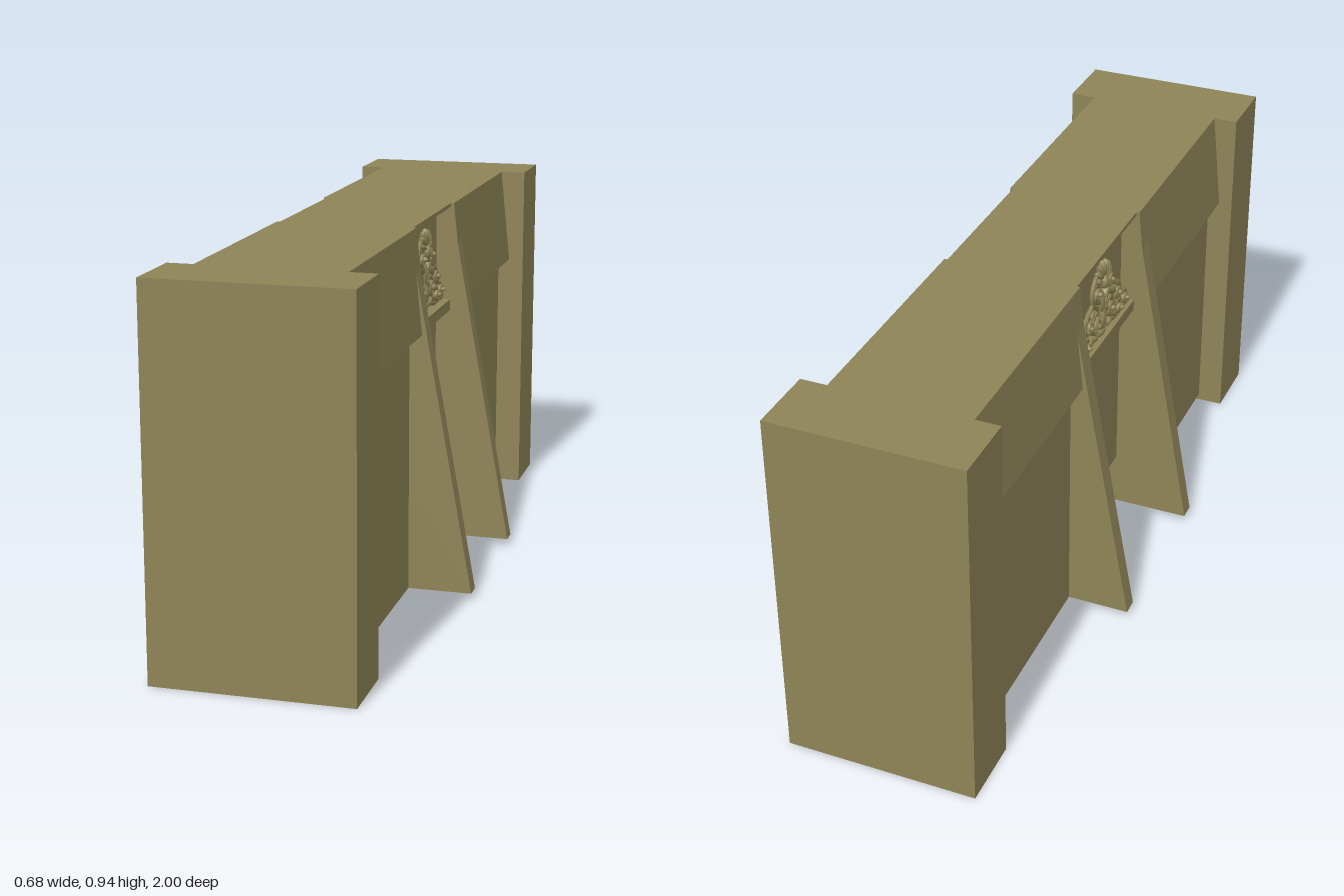
import * as THREE from 'three';
import { mergeGeometries } from 'three/addons/utils/BufferGeometryUtils.js';

const stone = new THREE.MeshStandardMaterial({ color: 0x8e8457, side: THREE.DoubleSide });
stone.name = 'stone';

// Shell with an open bottom: half profile [x, y] from foot to top, mirrored in x, run along z.
function shell(name, half, z0, z1) {
  const pts = [...half, ...half.slice().reverse().map(([x, y]) => [-x, y])];
  const pos = [];
  for (let i = 0; i < pts.length - 1; i++) {
    const [ax, ay] = pts[i], [bx, by] = pts[i + 1];
    pos.push(ax, ay, z0, bx, by, z0, bx, by, z1, ax, ay, z0, bx, by, z1, ax, ay, z1);
  }
  const sides = new THREE.BufferGeometry();
  sides.setAttribute('position', new THREE.Float32BufferAttribute(pos, 3));
  sides.computeVertexNormals();
  const shape = new THREE.Shape(pts.map(([x, y]) => new THREE.Vector2(x, y)));
  const caps = [z0, z1].map((z, i) => {
    const g = new THREE.ShapeGeometry(shape).toNonIndexed();
    if (i === 0) g.rotateY(Math.PI);
    g.translate(0, 0, z);
    g.deleteAttribute('uv');
    return g;
  });
  const mesh = new THREE.Mesh(mergeGeometries([sides, ...caps]), stone);
  mesh.name = name;
  return mesh;
}

// Tapering scroll: a spiral of the given turns that starts at the rim and ends in a bead.
function scroll(cx, cy, r, start, turns, s, thick) {
  const pts = [];
  for (let i = 0; i <= 16; i++) {
    const t = i / 16, a = start + turns * Math.PI * 2 * t, q = r * (1 - 0.75 * t);
    pts.push(new THREE.Vector3(s * (cx + q * Math.cos(a)), cy + q * Math.sin(a), 0.016 + 0.01 * t));
  }
  return [
    new THREE.TubeGeometry(new THREE.CatmullRomCurve3(pts), 30, thick, 6),
    bead(s * cx, cy, r * 0.32, r * 0.32, 0, 0.026),
  ];
}

// Flattened bead or leaf, turned by angle in the panel plane.
function bead(x, y, rx, ry, angle = 0, z = 0.014, depth = 0.012) {
  return new THREE.SphereGeometry(1, 12, 8).scale(rx, ry, depth).rotateZ(angle).translate(x, y, z);
}

function stem(points, s, thick) {
  const curve = new THREE.CatmullRomCurve3(points.map(([x, y]) => new THREE.Vector3(s * x, y, 0.016)));
  return new THREE.TubeGeometry(curve, 24, thick, 6);
}

// Carved crest, heights measured from the ledge top.
function carving() {
  const parts = [];
  // fan at the top
  for (let i = -3; i <= 3; i++) {
    const a = Math.PI / 2 + i * 0.42;
    parts.push(bead(Math.cos(a) * 0.032, 0.168 + Math.sin(a) * 0.034, 0.022, 0.008, a, 0.018));
  }
  parts.push(bead(0, 0.163, 0.014, 0.018, 0, 0.024));
  // central drop and foot
  parts.push(bead(0, 0.105, 0.012, 0.036), bead(0, 0.05, 0.02, 0.026, 0, 0.018), bead(0, 0.016, 0.026, 0.012));
  for (const s of [-1, 1]) {
    parts.push(
      ...scroll(0.043, 0.15, 0.024, 1.2, 1.4, s, 0.006),
      ...scroll(0.05, 0.062, 0.03, 2.6, -1.5, s, 0.007),
      ...scroll(0.1, 0.082, 0.025, 2.4, -1.4, s, 0.006),
      ...scroll(0.112, 0.03, 0.022, 2.8, -1.3, s, 0.006),
      ...scroll(0.155, 0.036, 0.02, 2.2, -1.4, s, 0.006),
      stem([[0.012, 0.2], [0.045, 0.19], [0.066, 0.16], [0.06, 0.125], [0.03, 0.1], [0.018, 0.06]], s, 0.006),
      stem([[0.02, 0.02], [0.06, 0.018], [0.1, 0.008], [0.15, 0.01], [0.19, 0.008]], s, 0.007),
      stem([[0.065, 0.125], [0.09, 0.112], [0.125, 0.095], [0.135, 0.06], [0.17, 0.05]], s, 0.006));
    // leaves: x, y, length, width, angle
    for (const [x, y, l, w, a] of [
      [0.03, 0.122, 0.022, 0.008, 0.9], [0.075, 0.1, 0.022, 0.009, 2.3], [0.078, 0.06, 0.02, 0.01, 0.8],
      [0.085, 0.025, 0.022, 0.01, 2.6], [0.13, 0.07, 0.018, 0.008, 2.0], [0.025, 0.075, 0.02, 0.009, 2.2],
      [0.138, 0.015, 0.018, 0.009, 0.5], [0.178, 0.02, 0.016, 0.008, 2.5], [0.05, 0.022, 0.022, 0.01, 0.4],
    ]) parts.push(bead(s * x, y, l, w, s * a));
  }
  return mergeGeometries(parts);
}

export function createModel() {
  const model = new THREE.Group();
  model.name = 'buttressedWall';

  // End piers
  for (const [name, z0, z1] of [['frontPier', 0.818, 1], ['backPier', -1, -0.818]]) {
    const pier = shell(name, [[0.246, 0], [0.246, 0.94]], z0, z1);
    pier.position.x = 0.002;
    model.add(pier);
  }

  // Side bays with a sloping band that overhangs the wall
  const bay = [[0.175, 0.018], [0.175, 0.68], [0.207, 0.68], [0.18, 0.94]];
  model.add(shell('frontBay', bay, 0.212, 0.818), shell('backBay', bay, -0.818, -0.198));

  // Buttresses
  const buttress = [[0.339, 0.018], [0.172, 0.939]];
  model.add(shell('frontButtress', buttress, 0.212, 0.257), shell('backButtress', buttress, -0.242, -0.198));

  // Recessed centre with ledge and lid
  model.add(shell('centreBay', [
    [0.133, 0.165], [0.133, 0.65], [0.172, 0.65], [0.172, 0.68],
    [0.133, 0.68], [0.133, 0.93], [0.172, 0.93], [0.172, 0.94],
  ], -0.198, 0.212));

  // Carved crest on both faces
  const crest = carving();
  for (const s of [-1, 1]) {
    const mesh = new THREE.Mesh(crest, stone);
    mesh.name = s > 0 ? 'leftCarving' : 'rightCarving';
    mesh.rotation.y = s * Math.PI / 2;
    mesh.position.set(s > 0 ? 0.133 : -0.142, 0.68, 0.005);
    model.add(mesh);
  }
  return model;
}
